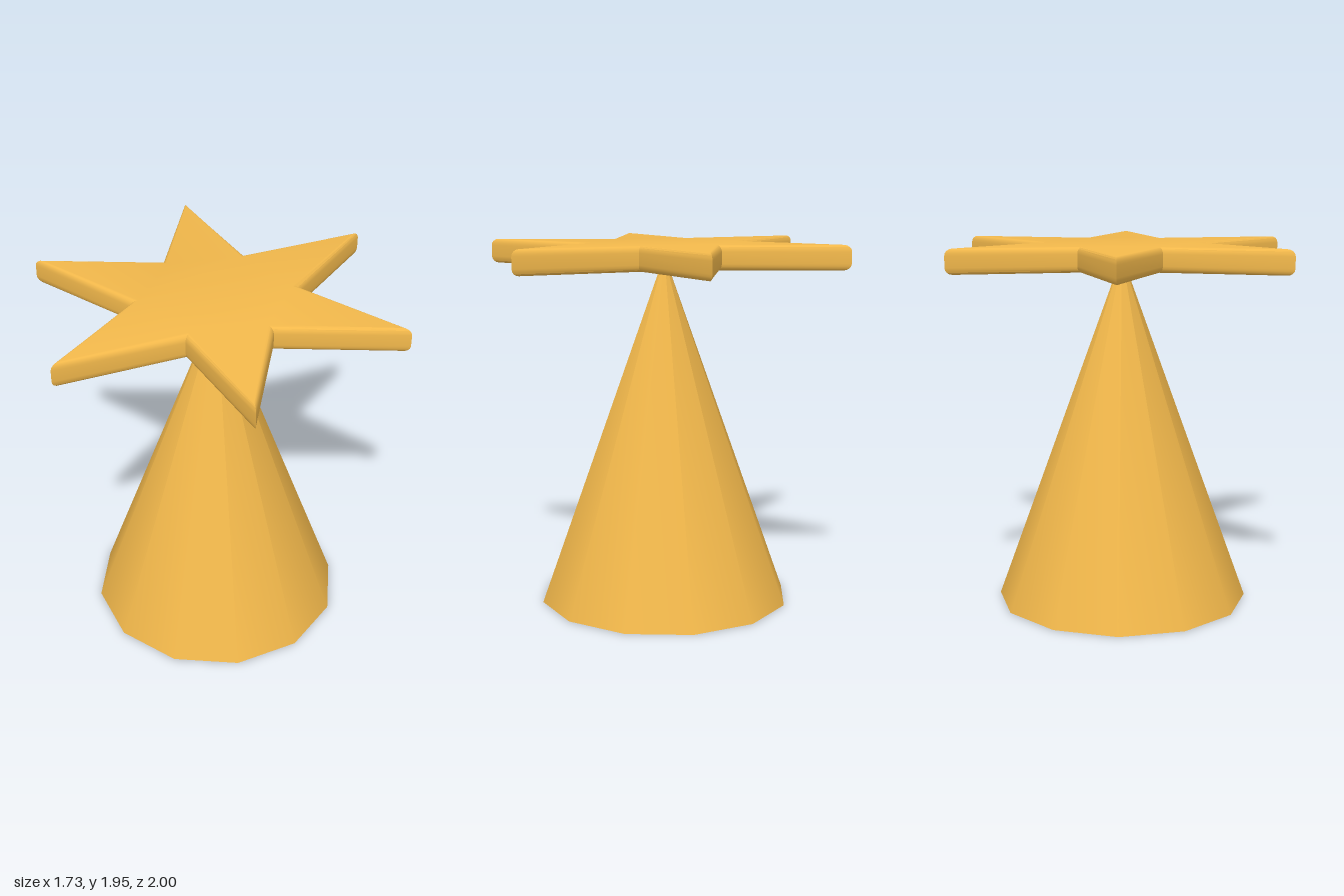
import * as THREE from 'three';
import { toCreasedNormals } from 'three/addons/utils/BufferGeometryUtils.js';

const CONE_RADIUS = 0.68, CONE_HEIGHT = 1.88;
const STAR_BOTTOM = 1.82, STAR_TOP = 1.95;
const BEVEL = 0.03, BEVEL_DEPTH = 0.035;

// Six-pointed outline with one tip on the +y axis of the shape
function starShape(outer, inner, points) {
  const corners = [];
  for (let i = 0; i < points * 2; i++) {
    const a = Math.PI / 2 + (i * Math.PI) / points;
    const r = i % 2 === 0 ? outer : inner;
    corners.push(new THREE.Vector2(Math.cos(a) * r, Math.sin(a) * r));
  }
  return new THREE.Shape(corners);
}

export function createModel() {
  const model = new THREE.Group();
  model.name = 'starOnCone';
  const gold = new THREE.MeshStandardMaterial({ color: 0xf2b84b });

  // Twelve-sided cone, its apex sunk into the star
  const coneGeometry = new THREE.ConeGeometry(CONE_RADIUS, CONE_HEIGHT, 12);
  coneGeometry.translate(0, CONE_HEIGHT / 2, 0);
  const cone = new THREE.Mesh(coneGeometry, gold);
  cone.name = 'coneBase';
  model.add(cone);

  // Flat star with rounded rims; the bevel grows the outline by about 0.04
  const extruded = new THREE.ExtrudeGeometry(starShape(0.958, 0.39, 6), {
    depth: STAR_TOP - STAR_BOTTOM - 2 * BEVEL_DEPTH,
    bevelEnabled: true,
    bevelSize: BEVEL,
    bevelThickness: BEVEL_DEPTH,
    bevelSegments: 4,
  });
  extruded.rotateX(-Math.PI / 2);
  extruded.translate(0, STAR_BOTTOM + BEVEL_DEPTH, 0);
  const star = new THREE.Mesh(toCreasedNormals(extruded, 0.6), gold);
  star.name = 'starTop';
  model.add(star);

  return model;
}
